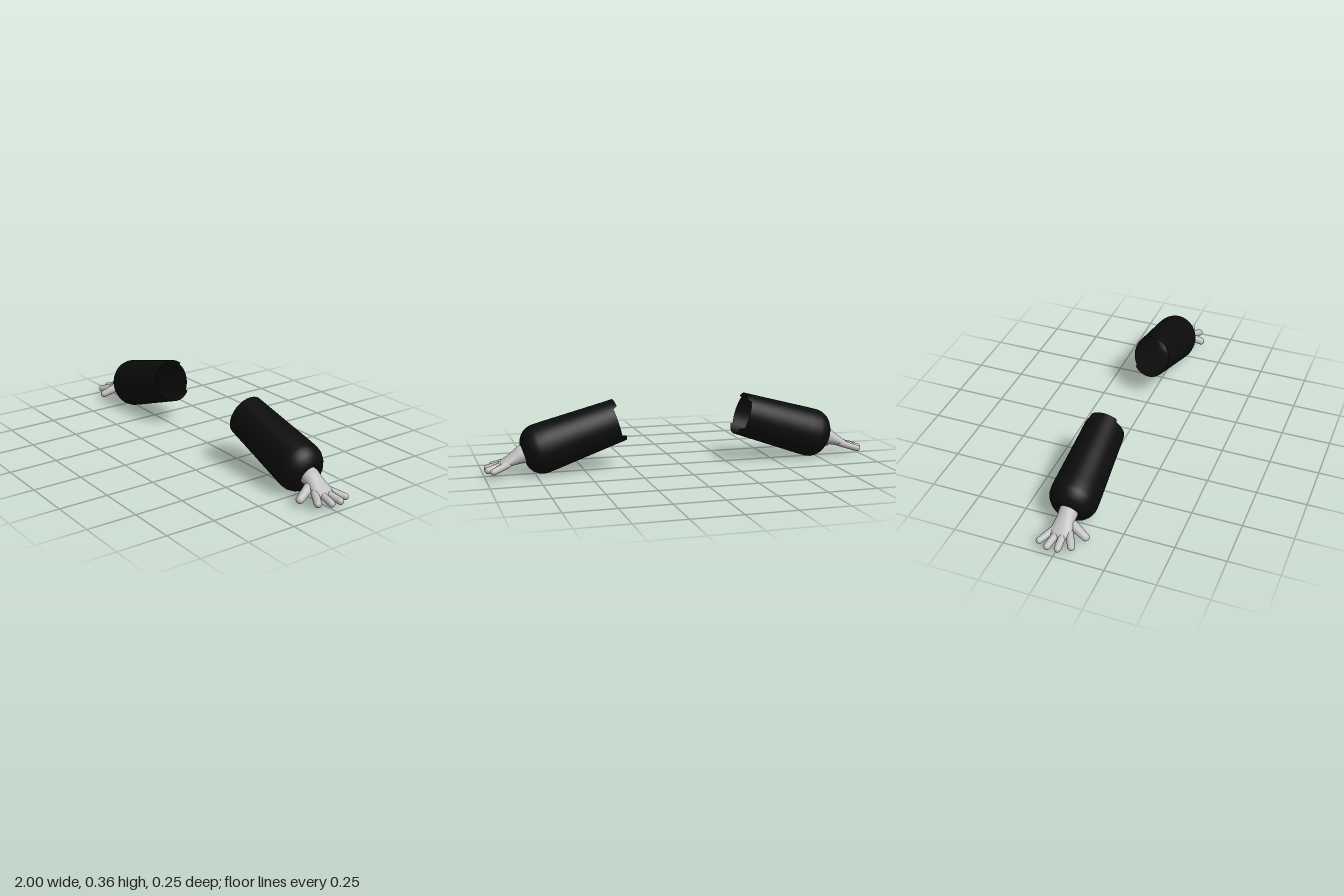
import * as THREE from 'three';

const black = new THREE.MeshStandardMaterial({ color: 0x0c0c0c, side: THREE.DoubleSide });
black.name = 'sleeveBlack';
const grey = new THREE.MeshStandardMaterial({ color: 0xbfbfbf });
grey.name = 'gloveGrey';

// Skin of elliptical rings; each section is { c: centre, d: direction, ru, rv, shift }.
// side = -1 mirrors the part across x.
function loft(sections, side, segments) {
  const pos = [], index = [];
  const Y = new THREE.Vector3(0, 1, 0);
  for (const { c, d, ru, rv, shift } of sections) {
    const v = new THREE.Vector3().crossVectors(d, Y).normalize();
    const u = new THREE.Vector3().crossVectors(v, d);
    for (let j = 0; j < segments; j++) {
      const a = (j / segments) * Math.PI * 2;
      const p = c.clone()
        .addScaledVector(u, Math.cos(a) * ru)
        .addScaledVector(v, Math.sin(a) * rv);
      if (shift) p.addScaledVector(d, shift(a));
      pos.push(p.x * side, p.y, p.z);
    }
  }
  for (let i = 0; i < sections.length - 1; i++) {
    for (let j = 0; j < segments; j++) {
      const k = (j + 1) % segments;
      const a = i * segments + j, b = i * segments + k;
      const e = a + segments, f = b + segments;
      if (side > 0) index.push(a, b, e, b, f, e);
      else index.push(a, e, b, b, e, f);
    }
  }
  const geo = new THREE.BufferGeometry();
  geo.setAttribute('position', new THREE.Float32BufferAttribute(pos, 3));
  geo.setIndex(index);
  geo.computeVertexNormals();
  return geo;
}

function addMesh(group, name, geo, material) {
  const mesh = new THREE.Mesh(geo, material);
  mesh.name = name;
  group.add(mesh);
}

// Open tube that widens towards a rounded cuff, with a notched rim
function sleeve(side) {
  const start = new THREE.Vector3(0.32, 0.253, -0.006);
  const d = new THREE.Vector3(0.955, -0.296, 0).normalize();
  const notch = (a) => {
    const middle = Math.cos(a) < 0.72 && Math.cos(a) > -0.62;
    if (!middle) return 0;
    if (Math.sin(a) < 0) return 0.022;
    return side < 0 ? 0.014 : 0;
  };
  const profile = [
    [0, 0.11, 0.098], [0.03, 0.111, 0.1], [0.2, 0.118, 0.108],
    [0.38, 0.126, 0.117], [0.425, 0.127, 0.118], [0.448, 0.123, 0.115],
    [0.47, 0.112, 0.105], [0.488, 0.096, 0.09], [0.502, 0.075, 0.072],
    [0.508, 0.058, 0.056], [0.495, 0.05, 0.05], [0.46, 0.046, 0.046],
  ];
  const sections = profile.map(([t, ru, rv], i) => ({
    c: start.clone().addScaledVector(d, t), d, ru, rv,
    shift: i === 0 ? notch : null,
  }));
  return loft(sections, side, 72);
}

// Wrist flowing into a flattened palm
function palm(side) {
  const d = new THREE.Vector3(0.93, -0.36, 0).normalize();
  const rows = [
    [0.76, 0.122, 0.042, 0.044], [0.81, 0.106, 0.046, 0.045],
    [0.835, 0.095, 0.039, 0.044], [0.86, 0.083, 0.031, 0.047],
    [0.885, 0.071, 0.025, 0.051], [0.91, 0.061, 0.02, 0.051],
    [0.925, 0.056, 0.014, 0.044], [0.932, 0.054, 0.001, 0.004],
  ];
  return loft(rows.map(([x, y, ru, rv]) => (
    { c: new THREE.Vector3(x, y, -0.002), d, ru, rv })), side, 32);
}

// Finger with rounded ends
function finger(base, tip, r0, r1, side) {
  const a = new THREE.Vector3(...base), b = new THREE.Vector3(...tip);
  const d = b.clone().sub(a).normalize();
  const length = a.distanceTo(b);
  const sections = [];
  const ring = (t, r) => sections.push({
    c: a.clone().addScaledVector(d, t), d, ru: r, rv: r });
  ring(0, r0 * 0.05);
  ring(r0 * 0.3, r0 * 0.8);
  ring(r0, r0);
  ring(length * 0.55, (r0 + r1) / 2);
  for (let i = 0; i <= 6; i++) {
    const q = (i / 6) * Math.PI / 2;
    ring(length - r1 + Math.sin(q) * r1, Math.max(Math.cos(q) * r1, 0.0002));
  }
  return loft(sections, side, 20);
}

const fingers = [
  ['thumb', [0.838, 0.085, 0.015], [0.874, 0.034, 0.124], 0.024, 0.019],
  ['indexFinger', [0.872, 0.068, 0.028], [0.966, 0.038, 0.08], 0.019, 0.018],
  ['middleFinger', [0.88, 0.066, 0.012], [0.998, 0.037, 0.018], 0.018, 0.017],
  ['ringFinger', [0.88, 0.066, -0.012], [1.0, 0.037, -0.037], 0.018, 0.017],
  ['littleFinger', [0.87, 0.069, -0.026], [0.976, 0.039, -0.09], 0.018, 0.016],
];

export function createModel() {
  const model = new THREE.Group();
  model.name = 'sleevedArms';
  for (const side of [1, -1]) {
    const prefix = side > 0 ? 'left' : 'right';
    const arm = new THREE.Group();
    arm.name = prefix + 'Arm';
    addMesh(arm, prefix + 'Sleeve', sleeve(side), black);
    const hand = new THREE.Group();
    hand.name = prefix + 'Hand';
    addMesh(hand, 'palm', palm(side), grey);
    for (const [name, base, tip, r0, r1] of fingers) {
      addMesh(hand, name, finger(base, tip, r0, r1, side), grey);
    }
    arm.add(hand);
    model.add(arm);
  }
  return model;
}
